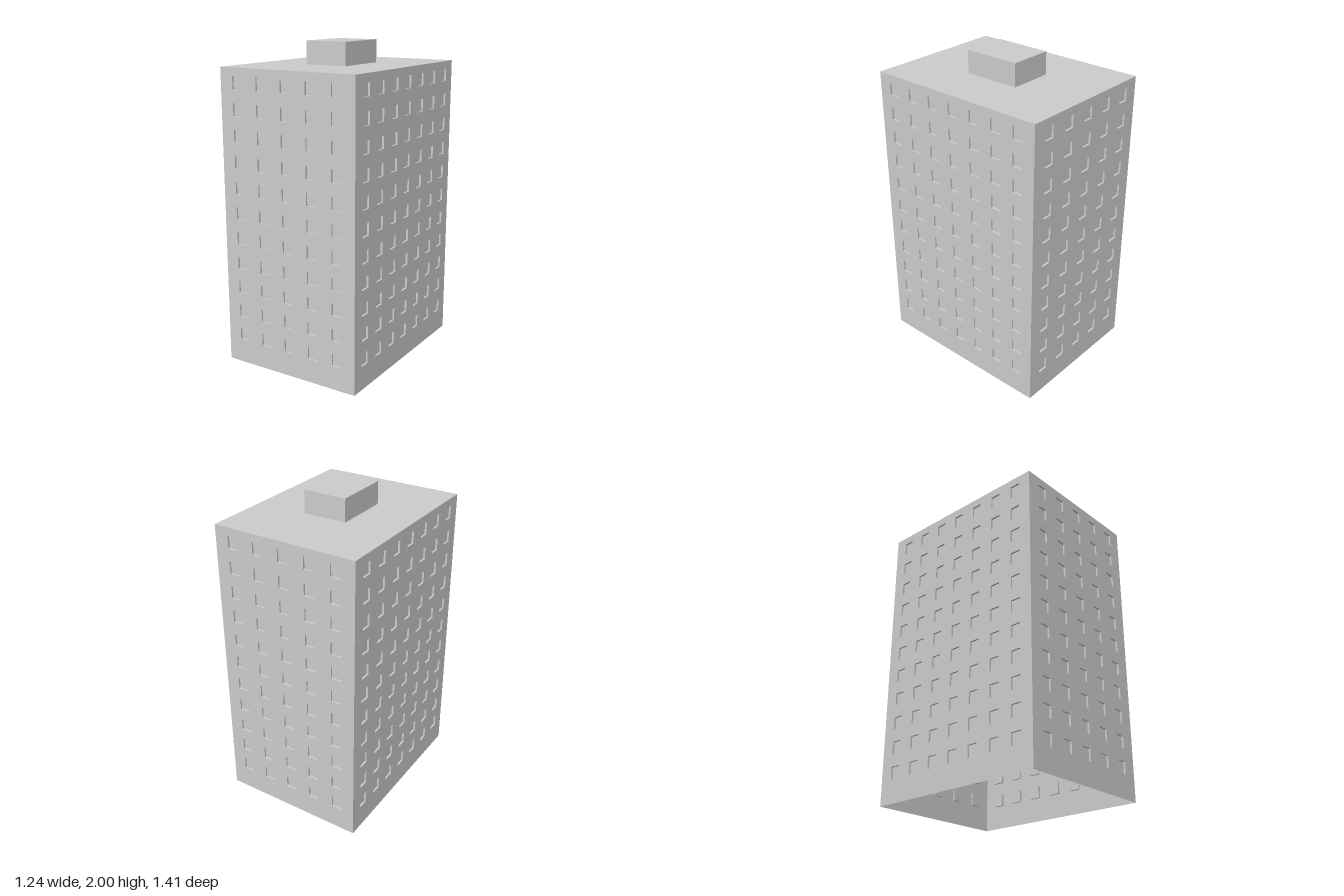
import * as THREE from 'three';
import { mergeGeometries } from 'three/addons/utils/BufferGeometryUtils.js';

const WIDTH = 0.932, DEPTH = 1.191, HEIGHT = 1.858, TURN = 0.297;
const WINDOW = { w: 0.068, h: 0.077, recess: 0.012 };
const ROWS = 11, ROW_STEP = 0.158, FIRST_ROW = 0.189;

const material = new THREE.MeshStandardMaterial({ color: 0xcccccc, side: THREE.DoubleSide, flatShading: true });

function addMesh(parent, name, geometry) {
  const mesh = new THREE.Mesh(geometry, material);
  mesh.name = name;
  parent.add(mesh);
  return mesh;
}

// Box with one side left out (0..5 = +x, -x, +y, -y, +z, -z)
function openBox(w, h, d, side) {
  const box = new THREE.BoxGeometry(w, h, d);
  const index = Array.from(box.index.array);
  index.splice(side * 6, 6);
  box.setIndex(index);
  box.clearGroups();
  return box;
}

// Wall in the xy plane facing +z, with a grid of recessed windows
function createFacade(name, width, columns, step) {
  const facade = new THREE.Group();
  facade.name = name;
  const { w, h, recess } = WINDOW;
  const wall = new THREE.Shape();
  wall.moveTo(-width / 2, 0).lineTo(width / 2, 0).lineTo(width / 2, HEIGHT).lineTo(-width / 2, HEIGHT).closePath();
  const pockets = [];
  for (let row = 0; row < ROWS; row++) {
    for (let col = 0; col < columns; col++) {
      const x = (col - (columns - 1) / 2) * step;
      const y = FIRST_ROW + row * ROW_STEP;
      const hole = new THREE.Path();
      hole.moveTo(x - w / 2, y - h / 2).lineTo(x - w / 2, y + h / 2)
        .lineTo(x + w / 2, y + h / 2).lineTo(x + w / 2, y - h / 2).closePath();
      wall.holes.push(hole);
      // pane and reveals, open to the outside
      pockets.push(openBox(w, h, recess, 4).translate(x, y, -recess / 2));
    }
  }
  addMesh(facade, 'wall', new THREE.ShapeGeometry(wall));
  addMesh(facade, 'windows', mergeGeometries(pockets));
  return facade;
}

export function createModel() {
  const building = new THREE.Group();
  building.name = 'apartmentTower';

  // Four facades, open at the ground
  ['front', 'left', 'back', 'right'].forEach((side, i) => {
    const long = i % 2 === 1;
    const facade = long
      ? createFacade(side + 'Facade', DEPTH, 7, 0.16)
      : createFacade(side + 'Facade', WIDTH, 5, 0.172);
    const angle = i * Math.PI / 2;
    const distance = (long ? WIDTH : DEPTH) / 2;
    facade.rotation.y = angle;
    facade.position.set(Math.sin(angle) * distance, 0, Math.cos(angle) * distance);
    building.add(facade);
  });

  // Flat roof
  addMesh(building, 'roof', new THREE.PlaneGeometry(WIDTH, DEPTH).rotateX(-Math.PI / 2)).position.y = HEIGHT;

  // Rooftop machine room
  const roomHeight = 2 - HEIGHT;
  addMesh(building, 'machineRoom', openBox(0.279, roomHeight, 0.362, 3)).position.y = HEIGHT + roomHeight / 2;

  building.rotation.y = TURN;
  const model = new THREE.Group();
  model.name = 'tower';
  model.add(building);
  return model;
}
